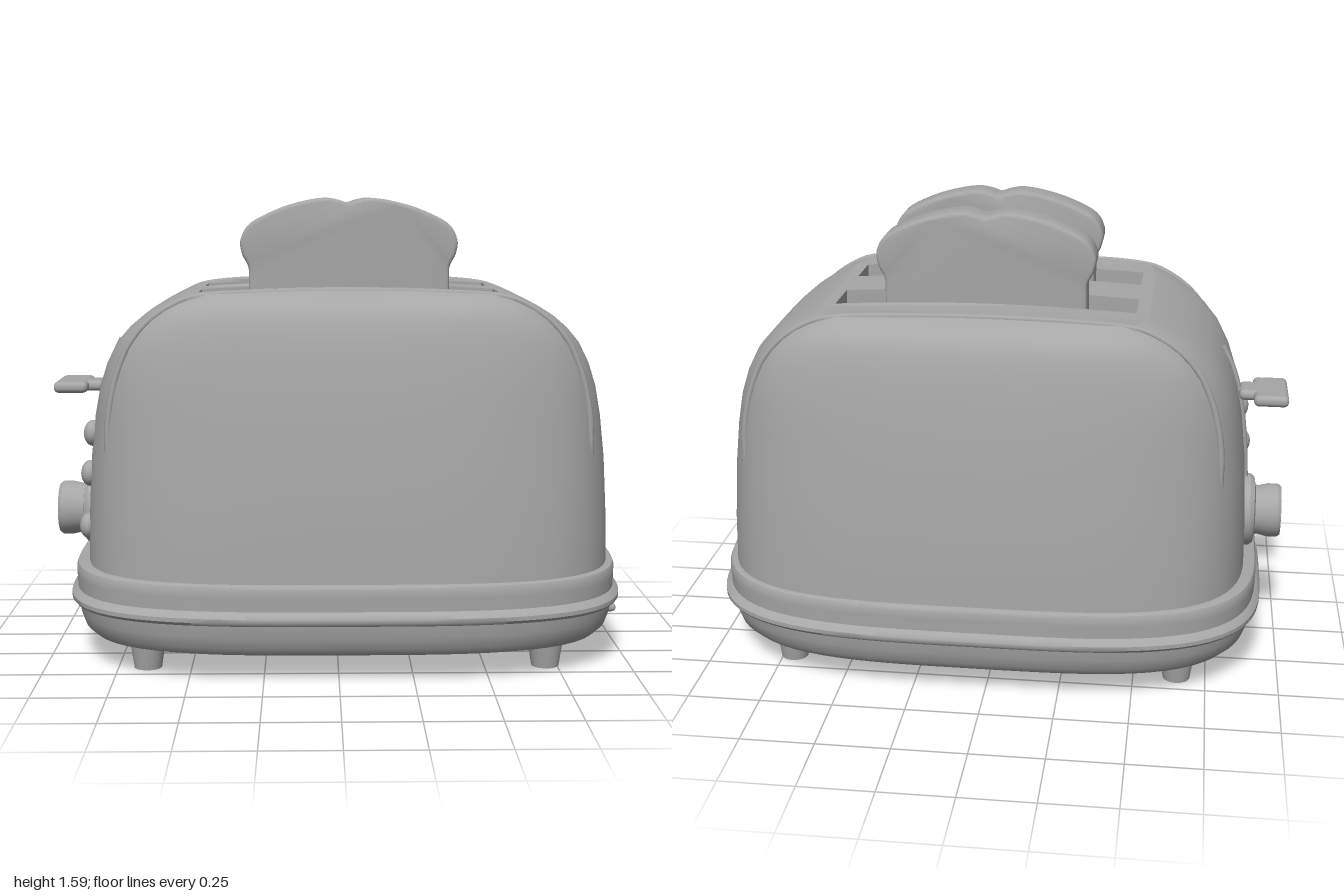
import * as THREE from 'three';
import { toCreasedNormals } from 'three/addons/utils/BufferGeometryUtils.js';
import { RoundedBoxGeometry } from 'three/addons/geometries/RoundedBoxGeometry.js';

const SEG = 112;
const BODY_X = 0.038;

// Shell sections: height, half width, half depth, squareness
const SHELL = [
  [0.33, 0.91, 0.65, 3.6], [0.5, 0.907, 0.643, 3.6], [0.7, 0.897, 0.625, 3.6],
  [0.85, 0.88, 0.607, 3.7], [0.95, 0.86, 0.594, 3.9], [1.03, 0.833, 0.581, 4.1],
  [1.1, 0.796, 0.568, 4.4], [1.15, 0.752, 0.556, 4.8], [1.19, 0.704, 0.543, 5.3],
  [1.22, 0.655, 0.527, 6], [1.243, 0.612, 0.505, 6.8], [1.257, 0.582, 0.483, 7.5],
  [1.268, 0.555, 0.458, 8],
];
const BASE = [
  [0.092, 0.86, 0.6, 3.5], [0.1, 0.895, 0.622, 3.5], [0.125, 0.922, 0.64, 3.5],
  [0.165, 0.936, 0.652, 3.5], [0.205, 0.943, 0.658, 3.5], [0.211, 0.957, 0.678, 3.5],
  [0.222, 0.965, 0.687, 3.5], [0.236, 0.965, 0.687, 3.5], [0.248, 0.955, 0.677, 3.5],
  [0.256, 0.945, 0.666, 3.5], [0.3, 0.947, 0.667, 3.5], [0.325, 0.947, 0.668, 3.5],
  [0.338, 0.942, 0.663, 3.5], [0.343, 0.93, 0.654, 3.5], [0.343, 0.89, 0.63, 3.5],
];

// Rounded-rectangle ring point
function ringPoint([, hx, hz, n], j) {
  const t = (j / SEG) * Math.PI * 2, c = Math.cos(t), s = Math.sin(t);
  const r = (Math.abs(c) ** n + Math.abs(s) ** n) ** (-1 / n);
  return [hx * c * r, hz * s * r];
}

// Skin through stacked rings, with an optional floor and a height rule for the last ring
function loft(rows, floor, lastY) {
  const pos = [], idx = [];
  rows.forEach((row, i) => {
    for (let j = 0; j < SEG; j++) {
      const [x, z] = ringPoint(row, j);
      pos.push(x, lastY && i === rows.length - 1 ? lastY(x) : row[0], z);
      if (i === rows.length - 1) continue;
      const a = i * SEG + j, b = i * SEG + (j + 1) % SEG;
      idx.push(a, a + SEG, b, b, a + SEG, b + SEG);
    }
  });
  if (floor) {
    const centre = pos.length / 3;
    pos.push(0, rows[0][0], 0);
    for (let j = 0; j < SEG; j++) idx.push(centre, j, (j + 1) % SEG);
  }
  const g = new THREE.BufferGeometry();
  g.setAttribute('position', new THREE.Float32BufferAttribute(pos, 3));
  g.setIndex(idx);
  g.computeVertexNormals();
  return g;
}

const last = SHELL[SHELL.length - 1];
const crown = (x) => last[0] + 0.02 * (1 - (x / last[1]) ** 2);

// Half width of the shell at a given height and depth
function shellX(y, z) {
  let i = 0;
  while (i < SHELL.length - 2 && SHELL[i + 1][0] < y) i++;
  const a = SHELL[i], b = SHELL[i + 1];
  const k = (y - a[0]) / (b[0] - a[0]);
  const [hx, hz, n] = [1, 2, 3].map((m) => a[m] + (b[m] - a[m]) * k);
  return hx * Math.max(0, 1 - (Math.abs(z) / hz) ** n) ** (1 / n);
}

export function createModel() {
  const root = new THREE.Group();
  const grey = new THREE.MeshStandardMaterial({ color: 0xa6a6a6 });
  grey.name = 'grey';

  function add(name, geometry, x = 0, y = 0, z = 0, parent = root) {
    const mesh = new THREE.Mesh(geometry, grey);
    mesh.name = name;
    mesh.position.set(x, y, z);
    parent.add(mesh);
    return mesh;
  }

  add('base', toCreasedNormals(loft(BASE, true), 0.7), 0.03);
  add('shell', loft(SHELL, false, crown), BODY_X);

  // Crowned top with two slots cut through it
  const outline = Array.from({ length: SEG }, (_, j) => new THREE.Vector2(...ringPoint(last, j)));
  const top = new THREE.Shape(outline);
  const slotZ = 0.185, slotHalf = 0.088, slotLength = 0.51;
  for (const side of [-1, 1]) {
    const pts = [];
    for (let k = 0; k <= 14; k++) pts.push(new THREE.Vector2(-slotLength + (k / 14) * 2 * slotLength, side * slotZ - slotHalf));
    for (let k = 14; k >= 0; k--) pts.push(new THREE.Vector2(-slotLength + (k / 14) * 2 * slotLength, side * slotZ + slotHalf));
    top.holes.push(new THREE.Path(pts));
  }
  const topGeo = new THREE.ExtrudeGeometry(top, { depth: 0.2, bevelEnabled: false });
  topGeo.rotateX(-Math.PI / 2);
  const p = topGeo.attributes.position;
  for (let i = 0; i < p.count; i++) p.setY(i, p.getY(i) - 0.2 + crown(p.getX(i)));
  topGeo.computeVertexNormals();
  add('slottedTop', toCreasedNormals(topGeo, 0.5), BODY_X);
  add('slotFloor', new THREE.BoxGeometry(1.06, 0.02, 0.6), BODY_X, 1.09, 0);

  // Raised seams arching over the shell
  for (const side of [-1, 1]) {
    const z = 0.43;
    const rows = SHELL.filter((r) => r[0] > 0.8 && r[0] < 1.26);
    const rise = rows.map((r) => new THREE.Vector3(shellX(r[0], z), r[0], side * z));
    rise.unshift(new THREE.Vector3(shellX(0.72, z) - 0.015, 0.72, side * z));
    const over = [-0.45, -0.25, 0, 0.25, 0.45].map((x) => new THREE.Vector3(x, crown(x) - 0.004, side * z));
    const left = rise.map((v) => new THREE.Vector3(-v.x, v.y, v.z));
    const path = new THREE.CatmullRomCurve3([...left, ...over, ...rise.reverse()]);
    add('seam', new THREE.TubeGeometry(path, 100, 0.012, 8), BODY_X);
  }

  // Two slices of toast
  const half = [[0.345, 1.1], [0.343, 1.3], [0.345, 1.355], [0.366, 1.4], [0.37, 1.45],
    [0.335, 1.505], [0.24, 1.552], [0.15, 1.578], [0.08, 1.588], [0.035, 1.582]];
  const toastPoints = [...half, [0, 1.572], ...half.slice().reverse().map(([x, y]) => [-x, y])]
    .map(([x, y]) => new THREE.Vector2(x, y));
  const toast = new THREE.Shape();
  toast.moveTo(toastPoints[0].x, toastPoints[0].y);
  toast.splineThru(toastPoints.slice(1));
  const toastGeo = toCreasedNormals(new THREE.ExtrudeGeometry(toast, {
    depth: 0.096, curveSegments: 60, bevelThickness: 0.014, bevelSize: 0.012, bevelOffset: -0.012, bevelSegments: 3,
  }), 0.6);
  for (const z of [-0.18, 0.18]) add('toast', toastGeo, 0.04, 0, z - 0.048);

  // Tapered feet with a small inward clip
  for (const [x, dir] of [[-0.65, 1], [0.71, -1]]) {
    for (const z of [-0.41, 0.41]) {
      const foot = new THREE.Group();
      foot.name = 'foot';
      foot.position.set(x, 0, z);
      add('footPost', new THREE.CylinderGeometry(0.062, 0.047, 0.1, 24), 0, 0.05, 0, foot);
      add('footClip', new THREE.BoxGeometry(0.05, 0.03, 0.025), dir * 0.07, 0.08, -Math.sign(z) * 0.03, foot);
      root.add(foot);
    }
  }

  // Lever and its track on the control side
  const track = [0.6, 0.75, 0.9, 1.0, 1.09].map((y) => new THREE.Vector3(BODY_X - shellX(y, 0), y, 0));
  add('leverTrack', new THREE.TubeGeometry(new THREE.CatmullRomCurve3(track), 24, 0.013, 8));
  const lever = new THREE.Group();
  lever.name = 'lever';
  lever.position.set(0, 0.925, 0);
  add('leverPaddle', new RoundedBoxGeometry(0.12, 0.04, 0.235, 4, 0.018), -0.94, 0, -0.005, lever);
  add('leverShoulder', new RoundedBoxGeometry(0.09, 0.038, 0.12, 4, 0.018), -0.875, 0, 0, lever);
  add('leverStem', new THREE.BoxGeometry(0.1, 0.03, 0.03), -0.82, 0, 0, lever);
  root.add(lever);

  // Dial: a collar with a knob
  const dial = [[0, 0], [0.13, 0], [0.13, 0.065], [0.118, 0.08], [0.09, 0.085], [0.088, 0.095],
    [0.096, 0.13], [0.096, 0.165], [0.088, 0.176], [0, 0.178]].map(([r, h]) => new THREE.Vector2(r, h));
  const dialMesh = add('dial', toCreasedNormals(new THREE.LatheGeometry(dial, 40), 0.6), -0.822, 0.475, 0);
  dialMesh.rotation.z = Math.PI / 2;

  // Round push buttons beside the lever
  for (const y of [0.46, 0.645, 0.785]) {
    const button = add('button', new THREE.SphereGeometry(0.045, 24, 16), BODY_X - shellX(y, 0.25) - 0.003, y, 0.25);
    button.scale.set(0.7, 1, 1);
  }

  // Small plate on the side of the base
  add('sidePlate', new RoundedBoxGeometry(0.05, 0.032, 0.31, 4, 0.015), 0.974, 0.135, 0.017);
  add('sidePlateCentre', new RoundedBoxGeometry(0.05, 0.055, 0.2, 4, 0.02), 0.975, 0.14, 0.017);

  return root;
}
